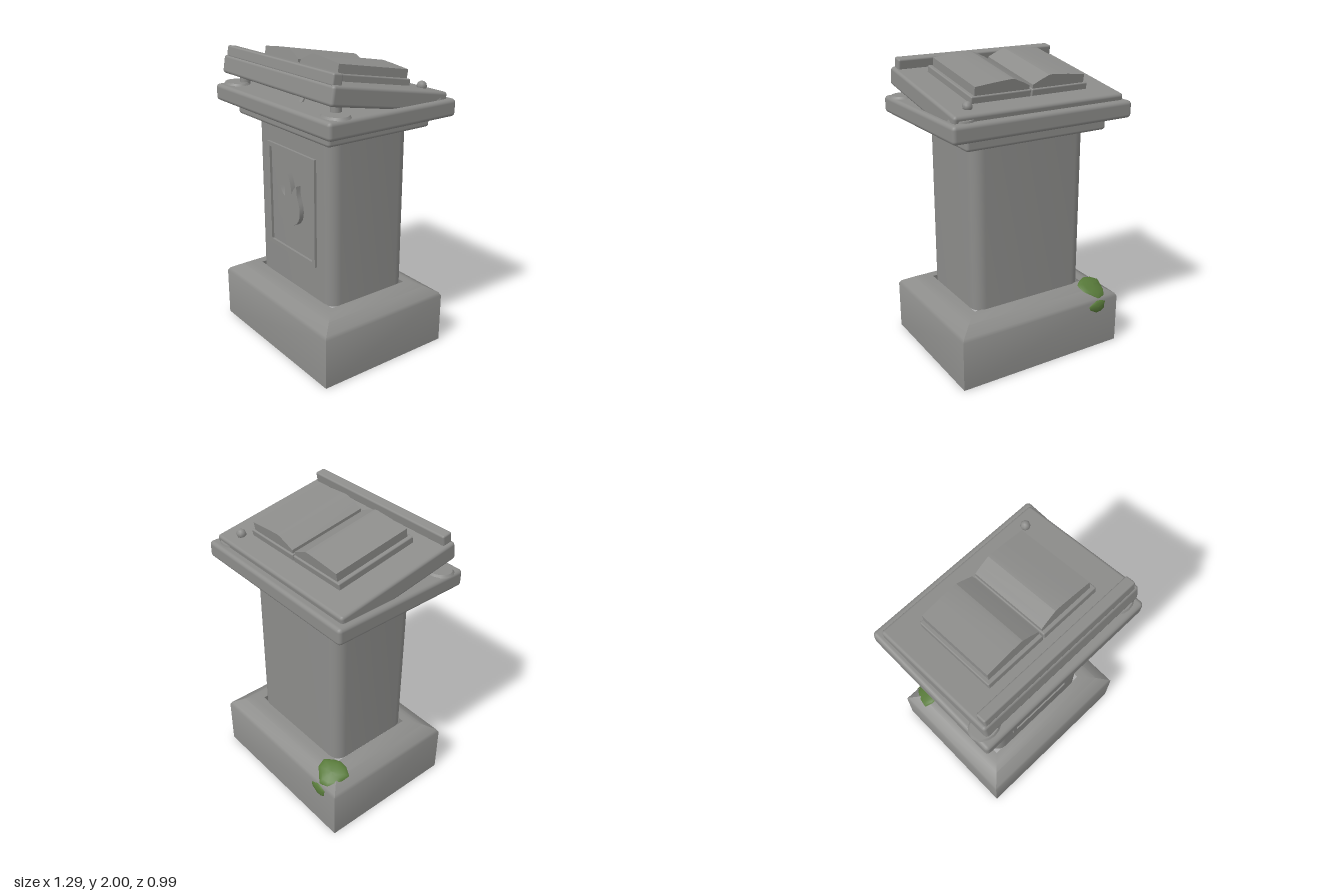
import * as THREE from 'three';
import { toCreasedNormals } from 'three/addons/utils/BufferGeometryUtils.js';
import { RoundedBoxGeometry } from 'three/addons/geometries/RoundedBoxGeometry.js';

const stone = new THREE.MeshStandardMaterial({ color: 0x8c8c8a, side: THREE.DoubleSide });
stone.name = 'stone grey';
const moss = new THREE.MeshStandardMaterial({ color: 0x587a3a, side: THREE.DoubleSide });
moss.name = 'moss green';

function add(parent, name, geometry, material = stone, x = 0, y = 0, z = 0) {
  const mesh = new THREE.Mesh(geometry, material);
  mesh.name = name;
  mesh.position.set(x, y, z);
  parent.add(mesh);
  return mesh;
}

// Box with softened edges, given by its limits on each axis
function slab(parent, name, [x0, x1], [y0, y1], [z0, z1], radius) {
  const geometry = new RoundedBoxGeometry(x1 - x0, y1 - y0, z1 - z0, 2, radius);
  return add(parent, name, geometry, stone, (x0 + x1) / 2, (y0 + y1) / 2, (z0 + z1) / 2);
}

function extrude(shape, depth, crease = 0.6, curveSegments = 4) {
  return toCreasedNormals(
    new THREE.ExtrudeGeometry(shape, { depth, bevelEnabled: false, curveSegments }), crease);
}

function polygon(points) {
  return new THREE.Shape(points.map(([x, y]) => new THREE.Vector2(x, y)));
}

function rectangle(x0, x1, y0, y1) {
  return polygon([[x0, y0], [x1, y0], [x1, y1], [x0, y1]]);
}

// Rectangle with rounded corners, centred on the origin
function roundedRectangle(w, h, r) {
  const s = new THREE.Shape();
  s.absarc(w / 2 - r, h / 2 - r, r, 0, Math.PI / 2);
  s.absarc(r - w / 2, h / 2 - r, r, Math.PI / 2, Math.PI);
  s.absarc(r - w / 2, r - h / 2, r, Math.PI, Math.PI * 1.5);
  s.absarc(w / 2 - r, r - h / 2, r, Math.PI * 1.5, Math.PI * 2);
  return s;
}

// Hollow plinth: rectangular rings of [height, inset], open at the bottom
function plinthGeometry() {
  const rings = [[0, 0], [0.34, 0], [0.362, 0.012], [0.405, 0.085], [0.422, 0.13], [0.426, 0.185]];
  const positions = [];
  const corner = ([y, inset], k) => {
    const sx = [1, 1, -1, -1][k % 4], sz = [1, -1, -1, 1][k % 4];
    return [sx * (0.605 - inset), y, sz * (0.488 - inset)];
  };
  for (let i = 0; i < rings.length - 1; i++) {
    for (let k = 0; k < 4; k++) {
      const a = corner(rings[i], k), b = corner(rings[i], k + 1);
      const c = corner(rings[i + 1], k + 1), d = corner(rings[i + 1], k);
      positions.push(...a, ...b, ...c, ...a, ...c, ...d);
    }
  }
  const geometry = new THREE.BufferGeometry();
  geometry.setAttribute('position', new THREE.Float32BufferAttribute(positions, 3));
  return toCreasedNormals(geometry, 0.6);
}

function flameShape() {
  const s = new THREE.Shape();
  s.moveTo(0, 0.873);
  s.bezierCurveTo(0.08, 0.873, 0.13, 0.92, 0.13, 0.99);
  s.bezierCurveTo(0.13, 1.06, 0.09, 1.07, 0.095, 1.16);
  s.quadraticCurveTo(0.05, 1.13, 0.04, 1.09);
  s.quadraticCurveTo(0.035, 1.16, 0, 1.22);
  s.quadraticCurveTo(-0.045, 1.13, -0.035, 1.058);
  s.quadraticCurveTo(-0.07, 1.07, -0.095, 1.116);
  s.bezierCurveTo(-0.1, 1.06, -0.122, 1.06, -0.122, 0.99);
  s.bezierCurveTo(-0.122, 0.92, -0.08, 0.873, 0, 0.873);
  return s;
}

// Irregular shallow dome used for moss patches
function mossGeometry(rx, height, rz) {
  const geometry = new THREE.SphereGeometry(1, 11, 4, 0, Math.PI * 2, 0, Math.PI / 2);
  const p = geometry.attributes.position;
  for (let i = 0; i < p.count; i++) {
    const angle = Math.atan2(p.getZ(i), p.getX(i));
    const wobble = 1 + 0.1 * Math.sin(angle * 3 + 1) + 0.07 * Math.cos(angle * 5);
    p.setXYZ(i, p.getX(i) * rx * wobble, p.getY(i) * height, p.getZ(i) * rz * wobble);
  }
  geometry.computeVertexNormals();
  return geometry;
}

export function createModel() {
  const model = new THREE.Group();
  model.name = 'stoneLectern';

  // Plinth and column
  add(model, 'plinth', plinthGeometry(), stone, 0.005, 0, 0.012);
  const column = extrude(roundedRectangle(0.83, 0.62, 0.08), 1.12);
  column.rotateX(-Math.PI / 2);
  add(model, 'column', column, stone, 0.005, 0.42, 0.01);

  // Capital
  slab(model, 'collar', [-0.505, 0.51], [1.525, 1.615], [-0.385, 0.405], 0.02);
  slab(model, 'topSlab', [-0.637, 0.643], [1.605, 1.717], [-0.478, 0.497], 0.025);

  // Framed panel with flame relief
  const frame = rectangle(-0.265, 0.27, 0.655, 1.38);
  frame.holes.push(rectangle(-0.235, 0.24, 0.685, 1.35));
  add(model, 'panelFrame', extrude(frame, 0.025), stone, 0, 0, 0.312);
  add(model, 'flameRelief', extrude(flameShape(), 0.04, 0.6, 6), stone, 0, 0, 0.312);

  // Supports under the reading board
  for (const side of [-1, 1]) {
    const support = new THREE.Group();
    support.name = side > 0 ? 'leftSupport' : 'rightSupport';
    support.position.set(side * 0.5, 1.715, 0.38);
    const disc = new THREE.CylinderGeometry(0.075, 0.085, 0.016, 16);
    add(support, 'disc', disc, stone, side * 0.045, 0.008, 0).scale.x = 1.2;
    add(support, 'post', new THREE.CylinderGeometry(0.032, 0.035, 0.08, 10), stone, 0, 0.04, -0.035);
    model.add(support);
  }
  const backDisc = add(model, 'backDisc', new THREE.CylinderGeometry(0.08, 0.085, 0.016, 16),
    stone, 0.53, 1.725, -0.365);
  backDisc.rotation.x = -0.05;
  const pin = add(model, 'pin', new THREE.BoxGeometry(0.03, 0.21, 0.01), stone, 0.14, 1.675, 0.365);
  pin.rotation.x = -0.62;

  // Tilted reading board; local y = 0 is its upper surface
  const board = new THREE.Group();
  board.name = 'readingBoard';
  board.position.set(0.005, 1.833, 0);
  board.rotation.x = -0.175;
  model.add(board);
  slab(board, 'boardSlab', [-0.605, 0.605], [-0.12, 0], [-0.44, 0.447], 0.02);
  slab(board, 'ledge', [-0.583, 0.58], [-0.01, 0.064], [0.37, 0.44], 0.012);
  add(board, 'knob', new THREE.SphereGeometry(0.032, 8, 6), stone, 0.47, 0.012, -0.34);

  // Open book: mirrored covers and page blocks
  for (const side of [-1, 1]) {
    const cover = [0.003 * side, 0.418 * side].sort((a, b) => a - b);
    slab(board, 'bookCover', cover, [-0.01, 0.042], [-0.29, 0.29], 0.008);
    let profile = [[0.012, 0.03], [0.393, 0.03], [0.393, 0.097], [0.26, 0.111], [0.15, 0.12],
      [0.125, 0.118], [0.06, 0.09], [0.012, 0.066]].map(([x, y]) => [x * side, y]);
    add(board, 'pages', extrude(polygon(profile), 0.545, 0.3), stone, 0, 0, -0.278);
  }

  // Moss on the back right corner of the plinth
  const top = add(model, 'cornerMoss', mossGeometry(0.105, 0.03, 0.1), moss, -0.455, 0.402, -0.375);
  top.rotation.set(-0.42, 0, 0.2);
  const low = add(model, 'wallMoss', mossGeometry(0.068, 0.016, 0.045), moss, -0.435, 0.305, -0.474);
  low.rotation.set(-Math.PI / 2, 0, 0);
  return model;
}
